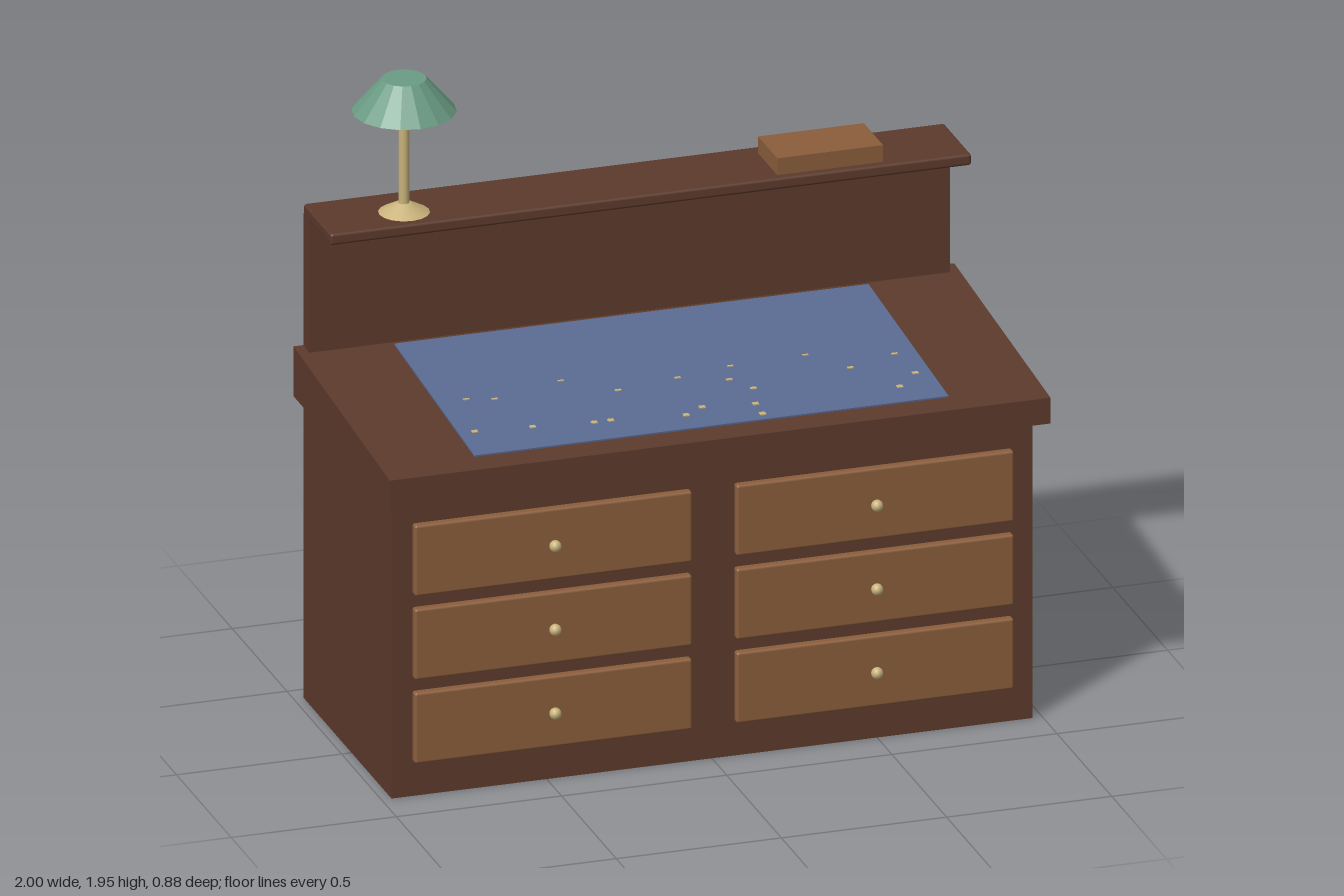
import * as THREE from 'three';
import { RoundedBoxGeometry } from 'three/addons/geometries/RoundedBoxGeometry.js';

const material = (name, color, extra = {}) => {
  const m = new THREE.MeshStandardMaterial({ color, ...extra });
  m.name = name;
  return m;
};

export function createModel() {
  const group = new THREE.Group();
  const darkWood = material('dark wood', 0x5c3a2c);
  const lightWood = material('light wood', 0x8b5e3c);
  const blue = material('blue mat', 0x5a6a92);
  const brass = material('brass', 0xc9b37c);
  const green = material('green shade', 0x6b9c84, { flatShading: true });

  const add = (name, geometry, mat, x = 0, y = 0, z = 0, parent = group) => {
    const mesh = new THREE.Mesh(geometry, mat);
    mesh.name = name;
    mesh.position.set(x, y, z);
    parent.add(mesh);
    return mesh;
  };
  // Box given by its limits on each axis; a radius softens the edges
  const box = (name, mat, [x0, x1], [y0, y1], [z0, z1], radius = 0) => {
    const size = [x1 - x0, y1 - y0, z1 - z0];
    const geometry = radius
      ? new RoundedBoxGeometry(...size, 2, radius)
      : new THREE.BoxGeometry(...size);
    return add(name, geometry, mat, (x0 + x1) / 2, (y0 + y1) / 2, (z0 + z1) / 2);
  };

  // Cabinet, backboard and shelf
  box('cabinet', darkWood, [-0.97, 0.97], [0, 0.94], [-0.44, 0.365]);
  box('backboard', darkWood, [-0.97, 0.97], [1.08, 1.505], [-0.44, -0.39]);
  box('shelf', darkWood, [-0.97, 0.97], [1.5, 1.535], [-0.44, -0.19], 0.008);

  // Sloping desk top: a box with its upper back edge raised
  const topGeometry = new THREE.BoxGeometry(2, 0.08, 0.88);
  const p = topGeometry.attributes.position;
  for (let i = 0; i < p.count; i++) {
    if (p.getY(i) > 0 && p.getZ(i) < 0) p.setY(i, 0.115);
  }
  topGeometry.computeVertexNormals();
  add('deskTop', topGeometry, darkWood, 0, 0.98, 0);

  // Writing mat, lying on the slope with small flecks on it
  const tilt = Math.atan2(0.075, 0.88);
  const slopeY = (z) => 1.02 + (0.44 - z) * 0.075 / 0.88;
  add('writingMat', new THREE.BoxGeometry(1.435, 0.006, 0.735), blue,
    0, slopeY(-0.005) + 0.002, -0.005).rotation.x = tilt;
  const flecks = [
    [-0.33, -0.02], [-0.63, 0.02], [-0.55, 0.04], [-0.19, 0.08], [0, 0.05], [0.17, 0.02], [0.14, 0.1],
    [0.19, 0.17], [0.4, 0.01], [0.5, 0.12], [0.65, 0.07], [0.67, 0.2], [0.6, 0.27], [-0.67, 0.22],
    [-0.5, 0.235], [-0.32, 0.255], [-0.27, 0.255], [-0.05, 0.28], [0.01, 0.245], [0.165, 0.265], [0.165, 0.33],
  ];
  for (const [x, z] of flecks) {
    const depth = 0.006 + Math.max(z, 0) * 0.035;
    add('fleck', new THREE.BoxGeometry(0.018, 0.004, depth), brass,
      x, slopeY(z) + 0.006, z).rotation.x = tilt;
  }

  // Two columns of three drawers, each with a round knob
  for (const side of [-1, 1]) {
    for (let row = 0; row < 3; row++) {
      const y = 0.217 + row * 0.26;
      add('drawer', new RoundedBoxGeometry(0.84, 0.22, 0.03, 2, 0.008), lightWood, side * 0.487, y, 0.375);
      add('knob', new THREE.SphereGeometry(0.018, 12, 8), brass, side * 0.487, y, 0.405);
    }
  }

  // Book on the shelf
  box('book', lightWood, [0.39, 0.71], [1.535, 1.587], [-0.39, -0.215]);

  // Lamp
  const lamp = new THREE.Group();
  lamp.name = 'lamp';
  lamp.position.set(-0.715, 1.535, -0.29);
  group.add(lamp);
  add('lampBase', new THREE.CylinderGeometry(0.02, 0.075, 0.03, 16), brass, 0, 0.015, 0, lamp);
  add('lampPole', new THREE.CylinderGeometry(0.016, 0.016, 0.32, 10), brass, 0, 0.18, 0, lamp);
  add('lampShade', new THREE.CylinderGeometry(0.065, 0.152, 0.1, 16), green, 0, 0.365, 0, lamp);

  return group;
}
